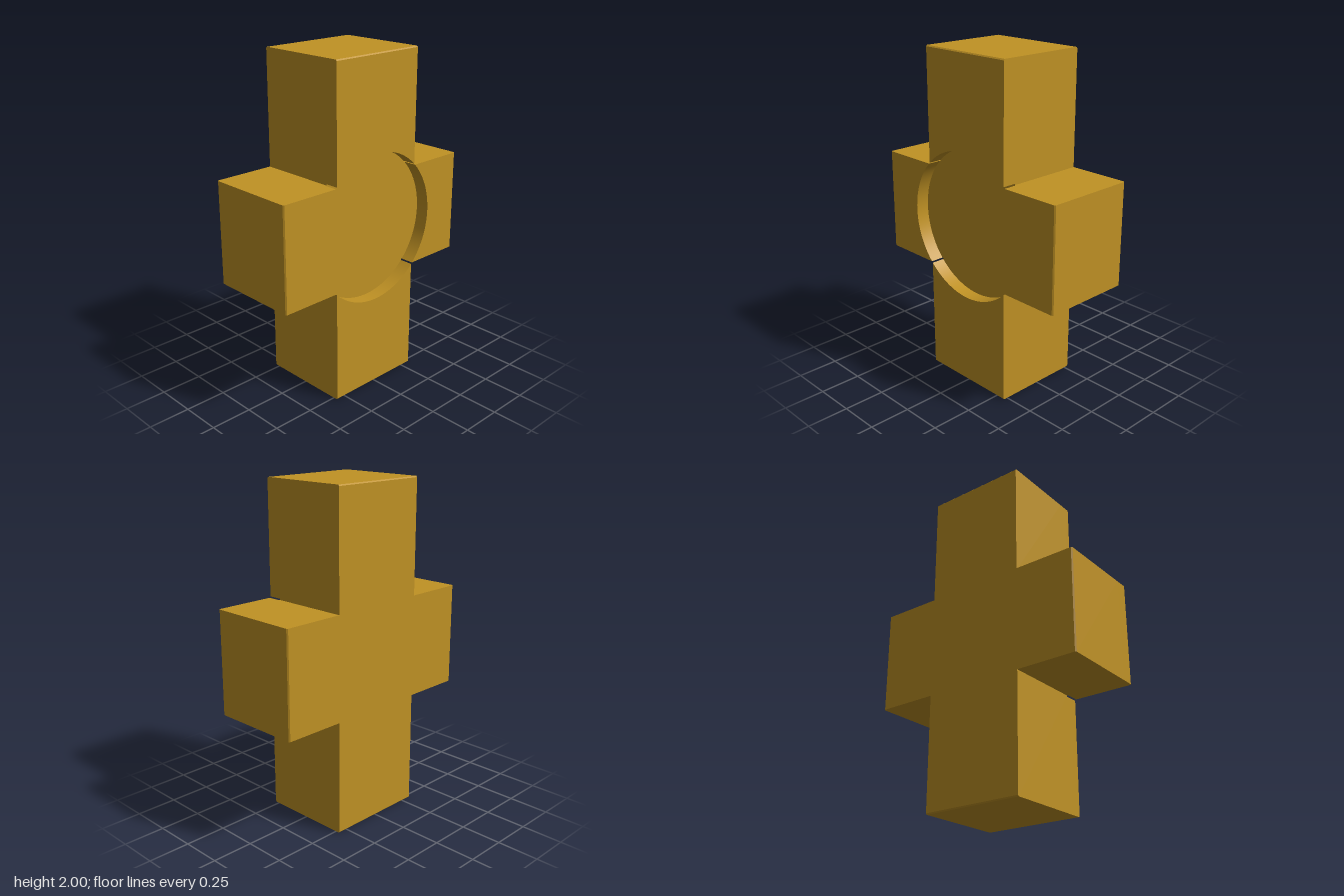
import * as THREE from 'three';
import { toCreasedNormals } from 'three/addons/utils/BufferGeometryUtils.js';

const ARM = 0.311;      // half width of every arm
const TALL = 1;         // half height of the cross
const WIDE = 0.685;     // half depth of the cross
const HALF = 0.28;      // half thickness
const FLOOR = 0.197;    // level of the recess floor
const RADIUS = 0.445;   // recess radius
const BEVEL = 0.007;    // small chamfer on the arm ends

// Extrude a shape through the given x levels, chamfering arm ends at the outer faces
function layered(shape, levels) {
  const n = levels.length - 1;
  const geo = new THREE.ExtrudeGeometry(shape, { depth: n, steps: n, bevelEnabled: false, curveSegments: 24 });
  const p = geo.attributes.position;
  const trim = (v, end) => (Math.abs(v) > end - 0.001 ? Math.sign(v) * (end - BEVEL) : v);
  for (let i = 0; i < p.count; i++) {
    const level = levels[Math.round(p.getZ(i))];
    p.setZ(i, level);
    if (Math.abs(level) === HALF) {
      p.setX(i, trim(p.getX(i), WIDE));
      p.setY(i, trim(p.getY(i), TALL));
    }
  }
  geo.rotateY(Math.PI / 2);
  geo.translate(0, TALL, 0);
  return toCreasedNormals(geo, 0.5);
}

// Full cross outline
function crossShape() {
  return new THREE.Shape([
    [ARM, ARM], [ARM, TALL], [-ARM, TALL], [-ARM, ARM], [-WIDE, ARM], [-WIDE, -ARM],
    [-ARM, -ARM], [-ARM, -TALL], [ARM, -TALL], [ARM, -ARM], [WIDE, -ARM], [WIDE, ARM],
  ].map(([u, v]) => new THREE.Vector2(u, v)));
}

// One arm outline, cut by the round recess, turned to the given direction
function armShape(length, turn) {
  const a = Math.asin(ARM / RADIUS);
  const origin = new THREE.Vector2();
  const pts = [new THREE.Vector2(length, -ARM), new THREE.Vector2(length, ARM)];
  for (let i = 0; i <= 32; i++) {
    const t = a - (2 * a * i) / 32;
    pts.push(new THREE.Vector2(RADIUS * Math.cos(t), RADIUS * Math.sin(t)));
  }
  return new THREE.Shape(pts.map((q) => q.rotateAround(origin, turn)));
}

export function createModel() {
  const group = new THREE.Group();
  group.name = 'crossBlock';
  const material = new THREE.MeshStandardMaterial({ color: 0xc09224 });
  const add = (name, geo) => {
    const mesh = new THREE.Mesh(geo, material);
    mesh.name = name;
    group.add(mesh);
  };

  // Solid cross up to the recess floor
  add('crossBody', layered(crossShape(), [-HALF, -HALF + BEVEL, FLOOR]));

  // Four arm tops surrounding the round recess
  ['backArmTop', 'upperArmTop', 'frontArmTop', 'lowerArmTop'].forEach((name, i) => {
    const shape = armShape(i % 2 ? TALL : WIDE, (i * Math.PI) / 2);
    add(name, layered(shape, [FLOOR, HALF - BEVEL, HALF]));
  });
  return group;
}
